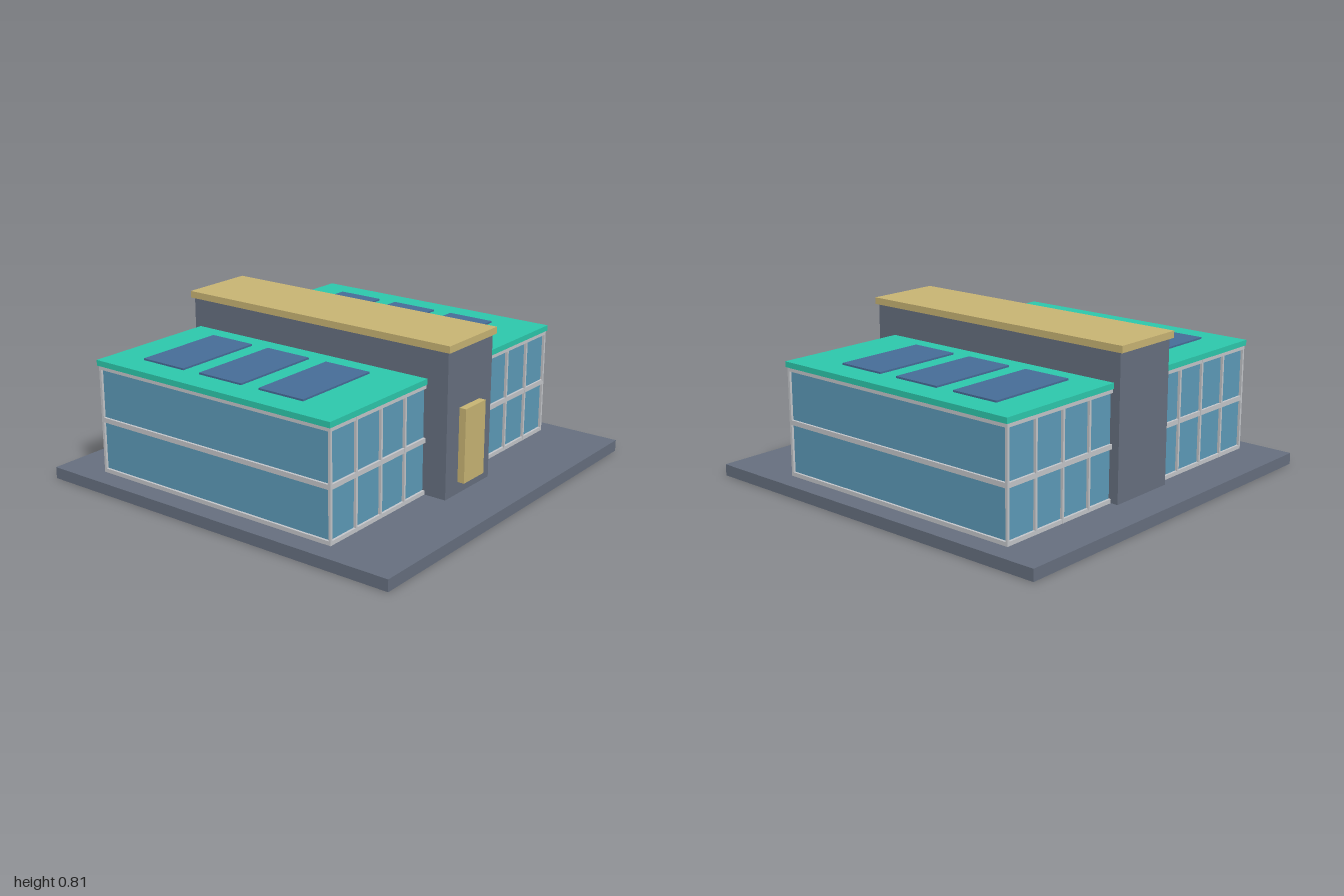
import * as THREE from 'three';

export function createModel() {
  const model = new THREE.Group();
  const mat = (name, color) => {
    const m = new THREE.MeshStandardMaterial({ color });
    m.name = name;
    return m;
  };
  const slate = mat('slate', 0x677080);
  const teal = mat('teal', 0x2dc9ad);
  const gold = mat('gold', 0xc9b574);
  const navy = mat('panelBlue', 0x476d99);
  const glass = mat('glassBlue', 0x5d9bb9);
  const white = mat('frameGrey', 0xc5c7cb);

  // Axis-aligned block given by its lower and upper limits
  const block = (parent, name, material, [x0, x1], [y0, y1], [z0, z1]) => {
    const mesh = new THREE.Mesh(new THREE.BoxGeometry(x1 - x0, y1 - y0, z1 - z0), material);
    mesh.position.set((x0 + x1) / 2, (y0 + y1) / 2, (z0 + z1) / 2);
    mesh.name = name;
    parent.add(mesh);
  };

  // Ground slab and central hall
  block(model, 'baseSlab', slate, [-1, 1], [0, 0.058], [-1, 1]);
  block(model, 'centralHall', slate, [-0.185, 0.185], [0.058, 0.773], [-0.805, 0.736]);
  block(model, 'hallRoof', gold, [-0.197, 0.197], [0.773, 0.807], [-0.822, 0.75]);
  block(model, 'door', gold, [-0.084, 0.084], [0.117, 0.484], [0.736, 0.772]);

  // Mirrored glazed wings
  const front = 0.62, back = -0.766, outer = 0.895, inner = 0.18, inset = 0.012;
  for (const side of [1, -1]) {
    const wing = new THREE.Group();
    wing.name = side > 0 ? 'leftWing' : 'rightWing';
    model.add(wing);
    const xr = (a, b) => (side > 0 ? [a, b] : [-b, -a]);

    block(wing, 'glazing', glass, xr(inner, outer - inset), [0.058, 0.6], [back + inset, front - inset]);
    block(wing, 'roof', teal, xr(inner, 0.903), [0.6, 0.628], [-0.772, 0.625]);

    // Horizontal rails on the three open sides
    for (const [y0, y1] of [[0.058, 0.078], [0.316, 0.34], [0.58, 0.6]]) {
      block(wing, 'frontRail', white, xr(inner, outer), [y0, y1], [front - inset, front]);
      block(wing, 'backRail', white, xr(inner, outer), [y0, y1], [back, back + inset]);
      block(wing, 'sideRail', white, xr(outer - inset, outer), [y0, y1], [back + inset, front - inset]);
    }

    // Corner posts and mullions
    for (const x of [0.345, 0.527, 0.709, 0.889]) {
      block(wing, 'frontMullion', white, xr(x - 0.006, x + 0.006), [0.058, 0.6], [front - inset, front + 0.001]);
      block(wing, 'backMullion', white, xr(x - 0.006, x + 0.006), [0.058, 0.6], [back - 0.001, back + inset]);
    }

    // Solar panels
    for (const z of [-0.465, -0.111, 0.246]) {
      block(wing, 'solarPanel', navy, xr(0.286, 0.769), [0.628, 0.637], [z - 0.127, z + 0.127]);
    }
  }
  return model;
}
